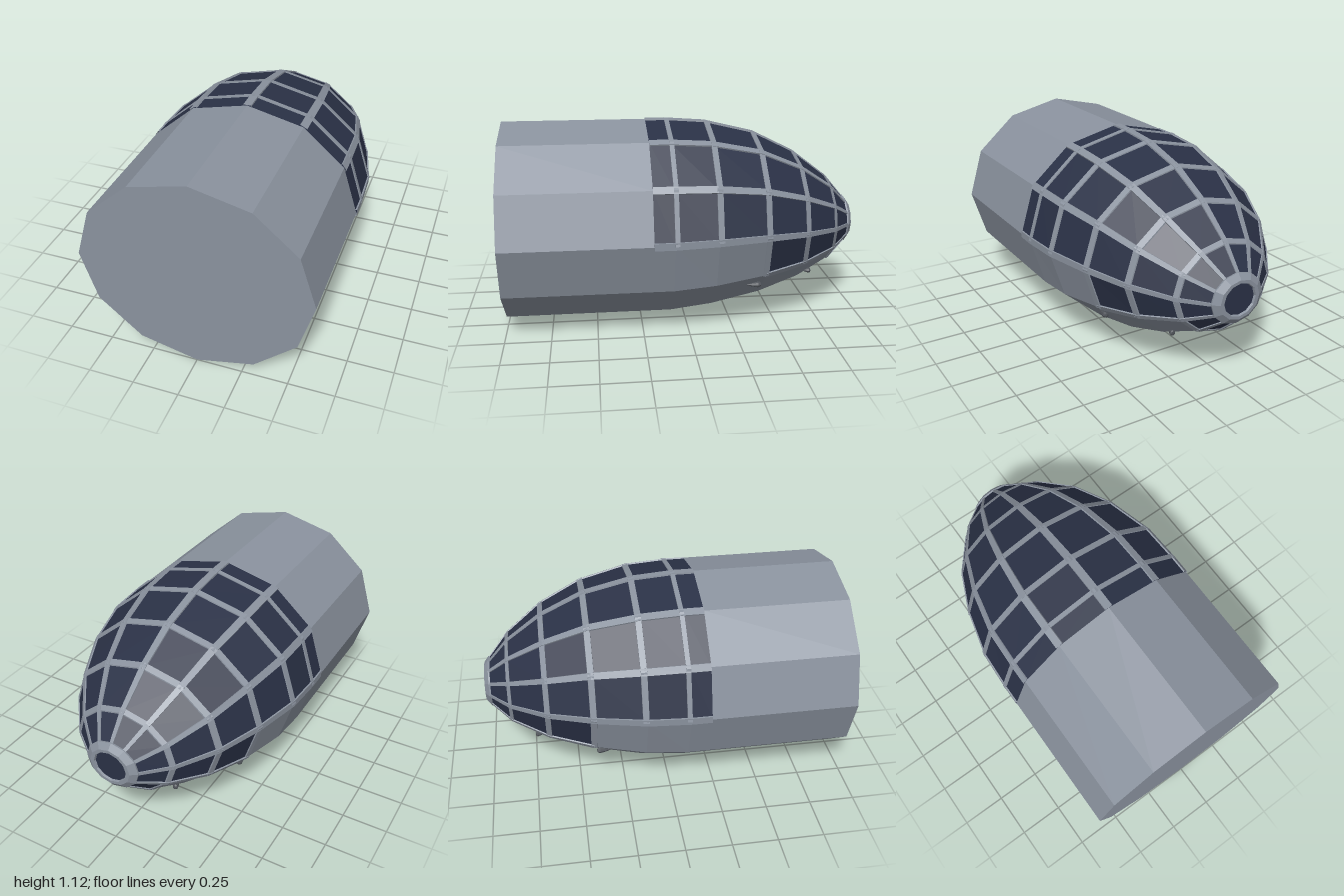
import * as THREE from 'three';

const hullMat = new THREE.MeshStandardMaterial({ color: 0x8a929e, flatShading: true });
const frameMat = new THREE.MeshStandardMaterial({ color: 0x8a929e, flatShading: true, side: THREE.DoubleSide });
const glassMat = new THREE.MeshStandardMaterial({ color: 0x2a3146, flatShading: true });
const ventMat = new THREE.MeshStandardMaterial({ color: 0x50545a, flatShading: true });

// Hull stations from tail to nose: z, half width, half height, centre height
const stations = [
  [1, 0.63, 0.555, 0.555], [0.2, 0.63, 0.555, 0.555], [0.09, 0.63, 0.555, 0.555],
  [-0.14, 0.62, 0.532, 0.561], [-0.42, 0.55, 0.47, 0.555], [-0.66, 0.445, 0.37, 0.535],
  [-0.86, 0.29, 0.245, 0.507], [-0.97, 0.15, 0.132, 0.49],
];

function sectionAt(z) {
  let i = 0;
  while (i < stations.length - 2 && stations[i + 1][0] > z) i++;
  const a = stations[i], b = stations[i + 1];
  const t = (z - a[0]) / (b[0] - a[0]);
  return a.map((v, j) => v + (b[j] - v) * t);
}

// Point on a twelve-sided section; k counts corners clockwise from the top
function sectionPoint([z, rx, ry, cy], k, lift = 0) {
  const k0 = Math.floor(k), f = k - k0;
  const corner = (n) => {
    const a = n * Math.PI / 6;
    return new THREE.Vector3((rx + lift) * Math.sin(a), cy + (ry + lift) * Math.cos(a), z);
  };
  return corner(k0).lerp(corner(k0 + 1), f);
}
const hullPoint = (z, k, lift) => sectionPoint(sectionAt(z), k, lift);

// Surface through rows of points
function loft(rows) {
  const pos = [];
  const tri = (...pts) => pts.forEach((p) => pos.push(p.x, p.y, p.z));
  for (let i = 0; i < rows.length - 1; i++) {
    for (let j = 0; j < rows[i].length - 1; j++) {
      const a = rows[i][j], b = rows[i][j + 1], c = rows[i + 1][j + 1], d = rows[i + 1][j];
      tri(a, b, c);
      tri(a, c, d);
    }
  }
  const g = new THREE.BufferGeometry();
  g.setAttribute('position', new THREE.Float32BufferAttribute(pos, 3));
  g.computeVertexNormals();
  return g;
}

function steps(from, to) {
  return Array.from({ length: to - from + 1 }, (_, i) => from + i);
}

// Flat twelve-sided cap facing along dir
function cap(section, dir) {
  const ring = steps(0, 12).map((k) => sectionPoint(section, k));
  const centre = ring.map(() => new THREE.Vector3(0, section[3], section[0]));
  return loft(dir > 0 ? [centre, ring] : [ring, centre]);
}

export function createModel() {
  const model = new THREE.Group();
  const add = (parent, name, geometry, material) => {
    const m = new THREE.Mesh(geometry, material);
    m.name = name;
    parent.add(m);
    return m;
  };
  const group = (name) => {
    const g = new THREE.Group();
    g.name = name;
    model.add(g);
    return g;
  };

  // Skin bands: glazing reaches further down toward the nose
  const hull = group('fuselage'), glazing = group('canopyGlass');
  const glassReach = [0, 3, 3, 3, 4, 4, 6];
  glassReach.forEach((reach, i) => {
    const band = (from, to) => loft([stations[i], stations[i + 1]].map(
      (s) => steps(from, to).map((k) => sectionPoint(s, k))));
    if (reach > 0) add(glazing, 'glassBand', band(-reach, reach), glassMat);
    if (reach < 6) add(hull, 'hullBand', band(reach, 12 - reach), hullMat);
  });
  add(hull, 'rearBulkhead', cap(stations[0], 1), hullMat);

  // Lengthwise frame bars, tapering to the nose
  const frame = group('canopyFrame');
  for (let k = -5; k <= 6; k++) {
    const first = [1, 1, 1, 1, 4, 6, 6][Math.abs(k)];
    const rows = stations.slice(first).map((s) => {
      const half = (0.012 + 0.038 * s[1] / 0.63) / 2;
      const dk = half / (0.49 * s[1]);
      return [[-dk, -0.01], [-dk * 0.85, 0.008], [dk * 0.85, 0.008], [dk, -0.01]]
        .map(([d, lift]) => sectionPoint(s, k + d, lift));
    });
    add(frame, 'lengthwiseBar', loft(rows), frameMat);
  }

  // Crosswise frame hoops
  [[0.08, 0.03, 3], [-0.15, 0.038, 3], [-0.42, 0.038, 4], [-0.66, 0.034, 4], [-0.86, 0.024, 6]]
    .forEach(([z, width, reach]) => {
      const rows = [[0.5, -0.01], [0.42, 0.006], [-0.42, 0.006], [-0.5, -0.01]].map(
        ([d, lift]) => steps(-reach, reach).map((k) => hullPoint(z + d * width, k, lift)));
      add(frame, 'hoop', loft(rows), frameMat);
    });

  // Nose collar around a round window
  const collar = [
    [-0.962, 0.155, 0.137, 0.49], [-0.975, 0.157, 0.139, 0.49], [-1, 0.12, 0.107, 0.49],
    [-1, 0.098, 0.09, 0.49], [-0.988, 0.094, 0.086, 0.49],
  ];
  add(frame, 'noseCollar', loft(collar.map((s) => steps(0, 12).map((k) => sectionPoint(s, k)))), frameMat);
  add(glazing, 'noseWindow', cap(collar[4], -1), glassMat);

  // Small teardrop fairings under the nose, blunt end forward
  const vents = group('undersideFairings');
  [[0.42, 0.247, -0.36, 0.09, 0.018], [0.215, 0.24, -0.715, 0.05, 0.016]].forEach(([x, y, z, len, r]) => {
    for (const side of [1, -1]) {
      const profile = [[0, -0.5], [0.75, -0.46], [1, -0.3], [0.6, 0.1], [0, 0.5]]
        .map(([pr, pl]) => new THREE.Vector2(pr * r, pl * len));
      const fairing = add(vents, 'fairing', new THREE.LatheGeometry(profile, 8), ventMat);
      fairing.rotation.x = Math.PI / 2;
      fairing.position.set(side * x, y, z);
    }
  });

  return model;
}
